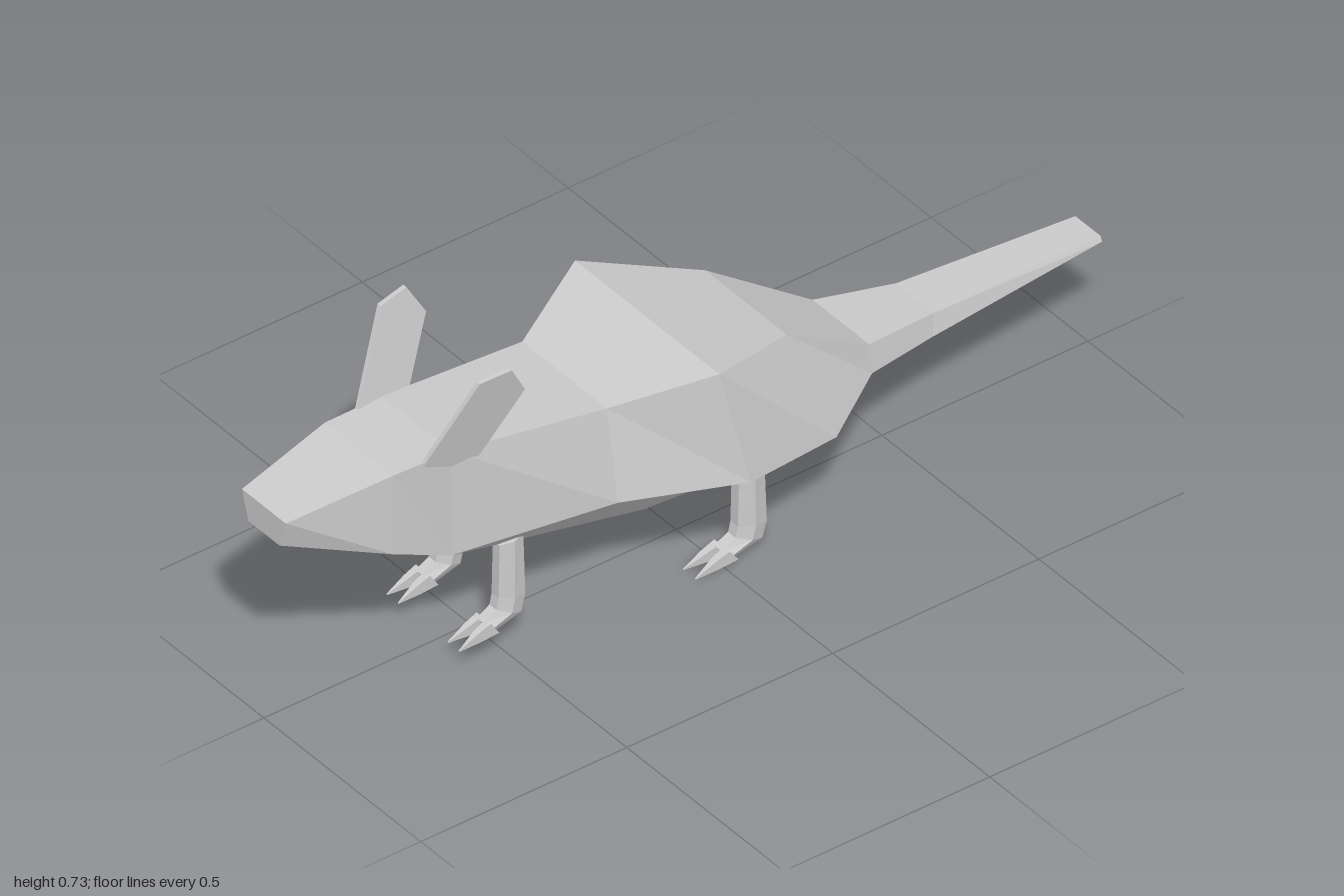
import * as THREE from 'three';

const material = new THREE.MeshStandardMaterial({ color: 0xcccccc, flatShading: true });

// Faceted skin through rings of points, closed at both ends.
// Rings run counter-clockwise as seen from the first ring's outer side.
function loft(name, rings) {
  const pos = [];
  const tri = (a, b, c) => pos.push(...a, ...b, ...c);
  const n = rings[0].length;
  for (let i = 0; i < rings.length - 1; i++) {
    for (let j = 0; j < n; j++) {
      const k = (j + 1) % n;
      const [p, q] = [rings[i], rings[i + 1]];
      tri(p[j], q[j], p[k]);
      tri(p[k], q[j], q[k]);
    }
  }
  const first = rings[0], last = rings[rings.length - 1];
  for (let j = 1; j < n - 1; j++) {
    tri(first[0], first[j], first[j + 1]);
    tri(last[0], last[j + 1], last[j]);
  }
  const geometry = new THREE.BufferGeometry();
  geometry.setAttribute('position', new THREE.Float32BufferAttribute(pos, 3));
  geometry.computeVertexNormals();
  const mesh = new THREE.Mesh(geometry, material);
  mesh.name = name;
  return mesh;
}

// Body and tail: each section gives back, flank and belly edges as
// [half width, y, z], then the height of the belly's centre line.
function createBody() {
  const sections = [
    [[0.07, 0.512, 1], [0.05, 0.447, 1], [0.025, 0.447, 1], 0.447],
    [[0.108, 0.545, 0.77], [0.11, 0.357, 0.77], [0.055, 0.357, 0.77], 0.357],
    [[0.112, 0.543, 0.63], [0.112, 0.292, 0.63], [0.056, 0.29, 0.63], 0.29],
    [[0.135, 0.497, 0.27], [0.17, 0.29, 0.27], [0.07, 0.151, 0.13], 0.146],
    [[0.23, 0.545, 0.07], [0.266, 0.283, 0.02], [0.075, 0.143, -0.05], 0.13],
    [[0.13, 0.472, -0.17], [0.21, 0.245, -0.23], [0.065, 0.167, -0.2], 0.158],
    [[0.09, 0.32, -0.4], [0.1, 0.256, -0.4], [0.05, 0.217, -0.4], 0.213],
    [[0.06, 0.296, -0.58], [0.07, 0.249, -0.57], [0.04, 0.245, -0.57], 0.243],
    [[0.04, 0.279, -1], [0.045, 0.268, -1], [0.03, 0.261, -1], 0.26],
  ];
  const mirror = ([x, y, z]) => [-x, y, z];
  return loft('body', sections.map(([top, flank, belly, keelY]) => [
    top, mirror(top), mirror(flank), mirror(belly), [0, keelY, belly[2]], belly, flank,
  ]));
}

// Thin ear leaning outward, with its rear edge turned out.
function createEar(side) {
  const outline = [[0.71, 0.51], [0.575, 0.5], [0.49, 0.66], [0.53, 0.73], [0.6, 0.722]];
  if (side < 0) outline.reverse();
  const face = (offset) => outline.map(([z, y]) =>
    [side * (0.113 + offset + (y - 0.54) * 0.22 + (0.6 - z) * 0.12), y, z]);
  return loft(side > 0 ? 'leftEar' : 'rightEar', [face(0.01), face(0)]);
}

// Six-sided leg bending forward into a foot with two claws.
function createLeg(name, x, y, z, scale) {
  const leg = new THREE.Group();
  leg.name = name;
  // Front and rear edge of each section: [zFront, yFront, zRear, yRear]
  const sections = [
    [0.03, 0.205, -0.025, 0.215],
    [0.033, 0.08, -0.03, 0.065],
    [0.038, 0.054, -0.02, 0.026],
    [0.07, 0.036, 0.05, 0.006],
  ];
  leg.add(loft('shin', sections.map(([zf, yf, zr, yr]) => {
    const zm = (zf + zr) / 2, ym = (yf + yr) / 2;
    return [
      [0.011, yf, zf], [0.023, ym, zm], [0.014, yr, zr],
      [-0.014, yr, zr], [-0.023, ym, zm], [-0.011, yf, zf],
    ];
  })));
  for (const s of [-1, 1]) {
    const claw = (cx, w, zt, yt, zb, yb) => [
      [s * cx + w, yt, zt], [s * cx + w, yb, zb], [s * cx - w, yb, zb], [s * cx - w, yt, zt],
    ];
    leg.add(loft('claw', [
      claw(0.014, 0.009, 0.06, 0.038, 0.04, 0.007),
      claw(0.015, 0.007, 0.09, 0.026, 0.085, 0.003),
      claw(0.018, 0.001, 0.134, 0.003, 0.134, 0.001),
    ]));
  }
  leg.position.set(x, y, z);
  leg.scale.setScalar(scale);
  return leg;
}

export function createModel() {
  const model = new THREE.Group();
  model.name = 'animal';
  model.add(createBody());
  for (const side of [1, -1]) {
    const label = side > 0 ? 'Left' : 'Right';
    model.add(createEar(side));
    model.add(createLeg(`front${label}Leg`, side * 0.097, 0.053, 0.48, 1));
    model.add(createLeg(`back${label}Leg`, side * 0.131, 0, -0.077, 1.08));
  }
  // Hind legs are a little shorter above the foot
  for (const label of ['Left', 'Right']) {
    model.getObjectByName(`back${label}Leg`).scale.y = 0.93;
  }
  return model;
}
